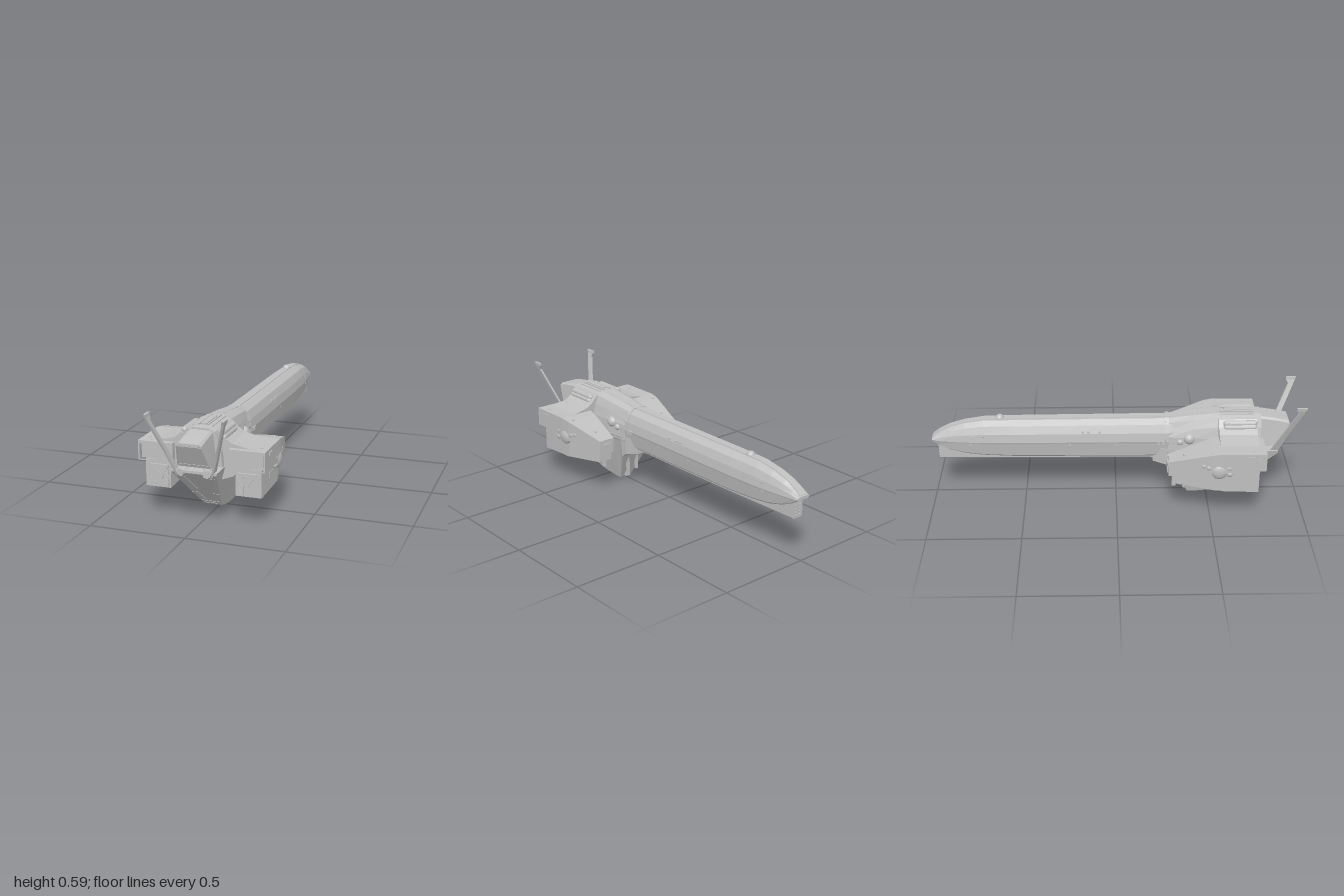
import * as THREE from 'three';

const grey = new THREE.MeshStandardMaterial({ color: 0xbfbfbf });
grey.name = 'hull grey';

// Skin through clockwise rings (seen from the front), ordered front to back: [z, [[x, y], ...]]
function loft(sections) {
  const pos = [];
  const put = (...pts) => pts.forEach(p => pos.push(...p));
  const rings = sections.map(([z, ring]) => ring.map(([x, y]) => [x, y, z]));
  const n = rings[0].length;
  for (let i = 0; i < rings.length - 1; i++) {
    for (let j = 0; j < n; j++) {
      const k = (j + 1) % n;
      const a = rings[i][j], b = rings[i][k], c = rings[i + 1][k], d = rings[i + 1][j];
      put(a, b, d, b, c, d);
    }
  }
  const cap = (ring, front) => {
    const mid = [0, 1, 2].map(q => ring.reduce((s, p) => s + p[q], 0) / n);
    ring.forEach((p, j) => {
      const r = ring[(j + 1) % n];
      front ? put(mid, r, p) : put(mid, p, r);
    });
  };
  cap(rings[0], true);
  cap(rings[rings.length - 1], false);
  const g = new THREE.BufferGeometry();
  g.setAttribute('position', new THREE.Float32BufferAttribute(pos, 3));
  g.computeVertexNormals();
  return g;
}

// Full ring from the left half listed top to bottom
const both = half => [...half, ...half.slice().reverse().map(([x, y]) => [-x, y])];
const rect = (x0, x1, y0, y1) => [[x0, y1], [x1, y1], [x1, y0], [x0, y0]];

// Extruded outline with optional hole, sheared so that z follows a sloping face
function plate(points, depth, zAt, hole) {
  const toV = pts => pts.map(p => new THREE.Vector2(...p));
  const shape = new THREE.Shape(toV(points));
  if (hole) shape.holes.push(new THREE.Path(toV(hole)));
  const g = new THREE.ExtrudeGeometry(shape, { depth, bevelEnabled: false });
  const p = g.attributes.position;
  for (let i = 0; i < p.count; i++) p.setZ(i, p.getZ(i) + zAt(p.getY(i)));
  g.computeVertexNormals();
  return g;
}

// Mirrored copy with corner order corrected
function mirror(geo) {
  const g = geo.index ? geo.toNonIndexed() : geo.clone();
  g.scale(-1, 1, 1);
  const v = new THREE.Vector3(), w = new THREE.Vector3();
  for (const a of [g.attributes.position, g.attributes.normal]) {
    for (let i = 0; i < a.count; i += 3) {
      v.fromBufferAttribute(a, i + 1);
      w.fromBufferAttribute(a, i + 2);
      a.setXYZ(i + 1, w.x, w.y, w.z);
      a.setXYZ(i + 2, v.x, v.y, v.z);
    }
  }
  return g;
}

export function createModel() {
  const model = new THREE.Group();
  model.name = 'spacecraft';
  const add = (name, geo) => {
    const m = new THREE.Mesh(geo, grey);
    m.name = name;
    model.add(m);
  };
  const pair = (name, geo) => {
    add(name + 'Left', geo);
    add(name + 'Right', mirror(geo));
  };
  const box = (w, h, d, x, y, z) => new THREE.BoxGeometry(w, h, d).translate(x, y, z);
  const ball = (r, x, y, z, flat = 1) => new THREE.SphereGeometry(r, 20, 14).scale(flat, 1, 1).translate(x, y, z);

  // Long boom: [z, half width, top, widest level, lower edge]
  const boom = [
    [0.56, 0.088, 0.478, 0.345, 0.25], [0.27, 0.088, 0.46, 0.345, 0.245],
    [-0.55, 0.086, 0.455, 0.343, 0.25], [-0.72, 0.08, 0.452, 0.342, 0.257],
    [-0.82, 0.071, 0.436, 0.341, 0.266], [-0.9, 0.06, 0.412, 0.34, 0.285],
    [-0.96, 0.05, 0.382, 0.34, 0.31], [-1, 0.043, 0.352, 0.342, 0.334],
  ];
  add('boom', loft(boom.map(([z, w, t, m, b]) => [z, both([
    [w * 0.36, t], [w * 0.72, t - (t - m) * 0.2], [w * 0.92, t - (t - m) * 0.58],
    [w, m], [w * 0.97, m - (m - b) * 0.1], [w * 0.84, b + (m - b) * 0.12], [w * 0.7, b],
  ])])));
  add('spineRidge', loft([[0.5, 0.49], [0.27, 0.464], [-0.55, 0.459], [-0.72, 0.456], [-0.82, 0.44],
    [-0.9, 0.416], [-0.96, 0.386], [-0.995, 0.358]].map(([z, t]) => [z, both([[0.02, t], [0.024, t - 0.02]])])));
  add('keel', loft([[0.25, 0.205], [0.17, 0.217], [-0.5, 0.219], [-0.965, 0.225]]
    .map(([z, b]) => [z, both([[0.034, 0.31], [0.034, b + 0.008], [0.026, b]])])));
  add('boomCollar', loft([0.285, 0.265].map(z => [z, both([[0.034, 0.465], [0.066, 0.439],
    [0.085, 0.395], [0.092, 0.345], [0.08, 0.26], [0.06, 0.245]])])));
  add('sensorDome', ball(0.024, 0, 0.452, -0.63));
  for (const [y, x, zs] of [[0.402, 0.079, [-0.09, -0.15, -0.18]], [0.373, 0.072, [-0.72, -0.78]],
    [0.325, 0.078, [0.2, 0.0, -0.25]], [0.328, 0.068, [-0.69, -0.72, -0.75, -0.79]]]) {
    for (const z of zs) pair('port', box(0.012, 0.009, 0.012, x, y, z));
  }
  // Nozzles at the keel end
  for (const x of [-0.015, 0.015]) for (let i = 0; i < 4; i++) {
    add('keelNozzle', new THREE.CylinderGeometry(0.005, 0.005, 0.008, 10).rotateX(Math.PI / 2).translate(x, 0.24 + i * 0.018, -0.966));
  }

  // Upper body hump
  add('upperBody', loft([[0.78, 0.488, 1], [0.72, 0.493, 1.02], [0.56, 0.493, 1.02], [0.42, 0.48, 0.96], [0.28, 0.461, 0.82]]
    .map(([z, t, s]) => [z, both([[0.04 * s, t], [0.072 * s, t - 0.016], [0.09 * s, t - 0.06],
      [0.105 * s, 0.37], [0.112 * s, 0.28], [0.1 * s, 0.25]])])));
  for (const x of [0.024, 0.045]) pair('roofRib', box(0.01, 0.012, 0.18, x, x > 0.03 ? 0.486 : 0.492, 0.65));
  add('roofHatch', box(0.03, 0.012, 0.15, 0, 0.493, 0.66));

  // Cockpit with undercut front window
  add('cockpit', loft([[0.932, 0.452, 0.44], [0.865, 0.466, 0.315], [0.76, 0.482, 0.3]].map(([z, t, b]) =>
    [z, both([[0.052, t], [0.064, t - 0.01], [0.064 + (0.44 - b) * 0.15, b]])])));
  const windowZ = y => 0.932 - (0.44 - y) * 0.536;
  const windowOuter = [[-0.083, 0.324], [0.083, 0.324], [0.064, 0.438], [-0.064, 0.438]];
  const windowInner = [[-0.076, 0.333], [0.076, 0.333], [0.06, 0.432], [-0.06, 0.432]];
  add('windowFrame', plate(windowOuter, 0.007, windowZ, windowInner));
  add('window', plate(windowInner, 0.002, windowZ));

  // Lower hull: the width follows the depth of the bottom edge
  const width = y => 0.035 + 0.29 * y;
  add('lowerHull', loft([[0.875, 0.285, 0.119], [0.62, 0.04, 0.117], [0.54, 0.015, 0.115], [0.43, 0.002, 0.11],
    [0.395, 0.006, 0.107], [0.315, 0.17, 0.098], [0.28, 0.2, 0.09], [0.2, 0.217, 0.07]]
    .map(([z, b, w]) => [z, both([[w, 0.298], [Math.min(width(b), w * 0.97), b]])])));
  const noseZ = y => 0.62 + (y - 0.04) * 1.041;
  pair('nosePanelUpper', plate([[0.028, 0.163], [0.068, 0.163], [0.1, 0.258], [0.058, 0.258]], 0.004, noseZ));
  pair('nosePanelLower', plate([[0.02, 0.08], [0.052, 0.08], [0.073, 0.135], [0.04, 0.135]], 0.004, noseZ));
  add('noseSlot', plate([[-0.042, 0.045], [0.042, 0.045], [0.047, 0.068], [-0.047, 0.068]], 0.005, noseZ,
    [[-0.032, 0.052], [0.032, 0.052], [0.034, 0.062], [-0.034, 0.062]]));
  pair('chinPod', new THREE.CylinderGeometry(0.02, 0.025, 0.05, 7).rotateX(Math.PI / 2).rotateY(0.25).toNonIndexed().translate(0.062, 0.288, 0.856));
  pair('hullFin', box(0.012, 0.1, 0.018, 0.03, 0.115, 0.335));
  add('hullTailBlock', box(0.03, 0.035, 0.025, 0, 0.03, 0.385));

  // Wing bridging the body and the pods
  const wing = [[0.08, 0.475], [0.115, 0.44], [0.15, 0.417], [0.18, 0.41], [0.24, 0.397], [0.31, 0.395],
    [0.31, 0.31], [0.19, 0.28], [0.155, 0.248], [0.1, 0.228]];
  add('wing', loft([0.755, 0.55].map(z => [z, both(wing)])));

  // Side pods
  pair('podUpper', loft([[0.745, rect(0.15, 0.328, 0.295, 0.395)], [0.55, rect(0.127, 0.328, 0.28, 0.396)],
    [0.5, rect(0.136, 0.323, 0.275, 0.388)], [0.275, rect(0.178, 0.272, 0.24, 0.322)]]));
  pair('podLower', loft([[0.748, rect(0.17, 0.303, 0.152, 0.3)], [0.52, rect(0.17, 0.308, 0.168, 0.3)],
    [0.295, rect(0.178, 0.262, 0.19, 0.3)]]));
  pair('podIntakeFrame', plate(rect(0.146, 0.329, 0.294, 0.395), 0.055, () => 0.73, rect(0.154, 0.321, 0.3, 0.379)));
  pair('podFrontTrim', plate(rect(0.17, 0.303, 0.152, 0.293), 0.008, () => 0.746, rect(0.177, 0.297, 0.158, 0.289)));
  pair('podTriangle', plate([[0.28, 0.271], [0.178, 0.271], [0.216, 0.196], [0.228, 0.196]], 0.012, () => 0.746,
    [[0.258, 0.26], [0.2, 0.26], [0.222, 0.217]]));
  pair('podGrilleBase', box(0.026, 0.09, 0.006, 0.195, 0.203, 0.75));
  for (let i = 0; i < 7; i++) pair('podGrilleBar', box(0.02, 0.009, 0.006, 0.195, 0.166 + i * 0.0123, 0.754));
  pair('podCornerPanel', plate([[0.25, 0.162], [0.288, 0.162], [0.288, 0.2], [0.275, 0.2], [0.265, 0.18], [0.25, 0.175]], 0.004, () => 0.747));
  pair('podSkid', box(0.046, 0.012, 0.16, 0.26, 0.152, 0.65));
  pair('podTailBlock', box(0.06, 0.05, 0.025, 0.222, 0.275, 0.28));
  pair('podTailFin', box(0.016, 0.1, 0.02, 0.222, 0.205, 0.305));
  for (const x of [0.19, 0.258]) pair('podTailLug', box(0.018, 0.03, 0.03, x, 0.305, 0.285));
  for (const [x, y, z] of [[0.29, 0.392, 0.72], [0.17, 0.407, 0.72], [0.29, 0.385, 0.5], [0.24, 0.344, 0.36]])
    pair('podTopStud', box(0.012, 0.012, 0.016, x, y, z));
  pair('podSideHatch', box(0.008, 0.03, 0.1, 0.304, 0.235, 0.6));
  pair('podSideVent', box(0.008, 0.016, 0.04, 0.329, 0.371, 0.7));

  // Globe clusters on the pods and beside the boom
  pair('podGlobe', ball(0.044, 0.314, 0.288, 0.54, 0.48));
  for (const [x, y, z] of [[0.318, 0.31, 0.59], [0.318, 0.275, 0.595], [0.31, 0.31, 0.485], [0.304, 0.318, 0.46]])
    pair('podGlobeSmall', ball(0.017, x, y, z, 0.8));
  pair('boomGlobe', ball(0.032, 0.085, 0.363, 0.395));
  pair('boomGlobeSmall', ball(0.018, 0.09, 0.345, 0.345));
  for (const z of [0.23, 0.255, 0.31]) pair('boomFitting', box(0.02, 0.02, 0.015, 0.085, 0.34, z));

  // Twin tubes along the shoulders
  for (const [x, y] of [[0.097, 0.459], [0.106, 0.441]])
    pair('shoulderTube', new THREE.CapsuleGeometry(0.0165, 0.15, 6, 14).rotateX(Math.PI / 2).translate(x, y, 0.665));
  for (const z of [0.6, 0.73]) pair('tubeClamp', box(0.04, 0.045, 0.02, 0.091, 0.445, z));

  // Raked antennas with a hooked tip: [height, x, rear z, front z], lofted upright from tip to root
  const antenna = loft([[0.596, 0.195, 0.945, 1], [0.58, 0.193, 0.945, 0.993], [0.56, 0.187, 0.957, 0.985],
    [0.4, 0.133, 0.885, 0.915], [0.27, 0.089, 0.825, 0.87]].map(([y, x, z0, z1]) =>
    [y, rect(x - 0.006, x + 0.006, -z1, -z0)])).rotateX(-Math.PI / 2);
  pair('antenna', antenna);
  pair('antennaRoot', box(0.02, 0.02, 0.05, 0.098, 0.285, 0.835));

  return model;
}
